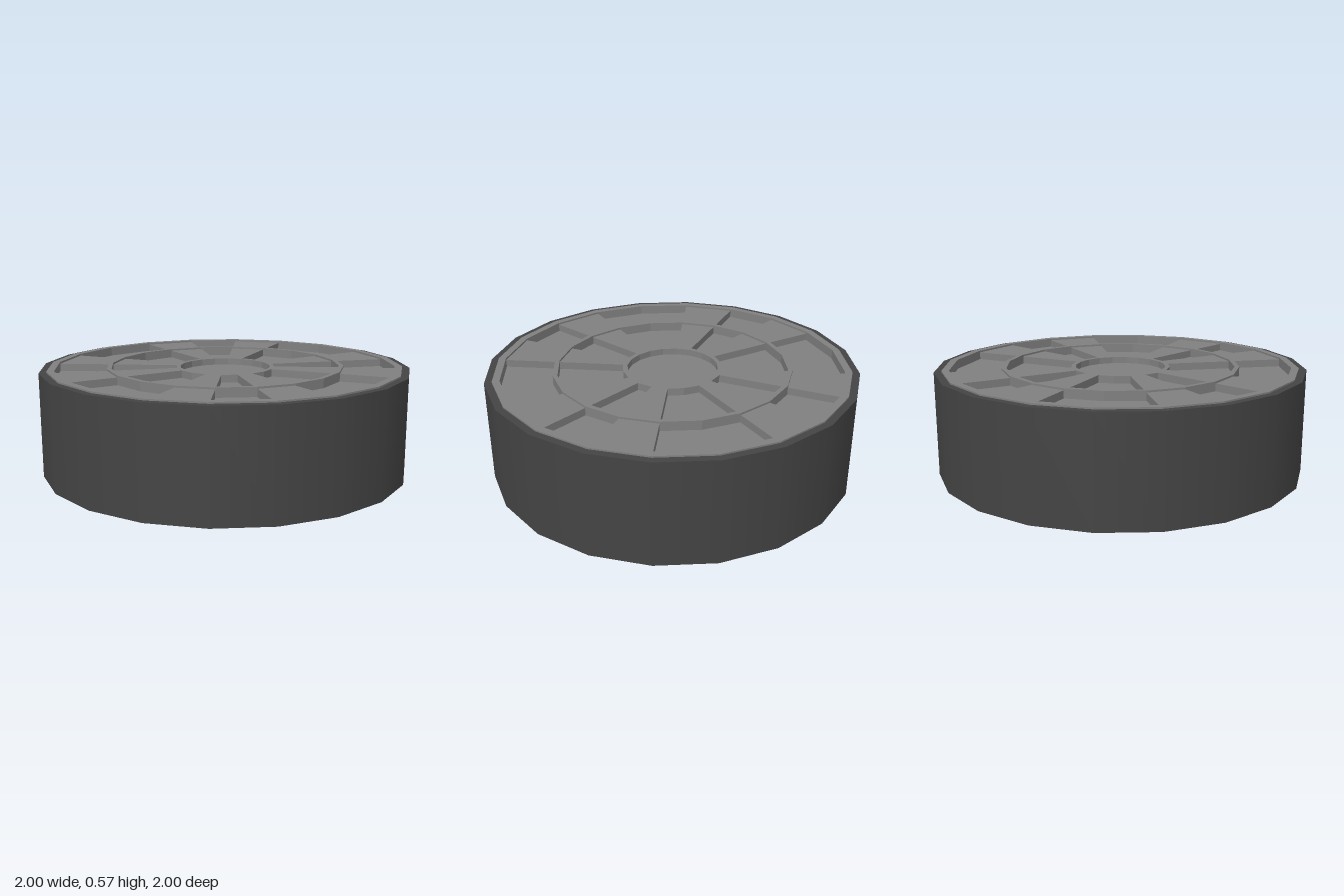
import * as THREE from 'three';

const SIDES = 20;
const STEP = (Math.PI * 2) / SIDES;

export function createModel() {
  const model = new THREE.Group();
  const darkSmooth = new THREE.MeshStandardMaterial({ color: 0x444444 });
  const darkFlat = new THREE.MeshStandardMaterial({ color: 0x444444, flatShading: true });
  const grey = new THREE.MeshStandardMaterial({ color: 0x808080, flatShading: true });

  const add = (name, geometry, material, parent = model) => {
    const mesh = new THREE.Mesh(geometry, material);
    mesh.name = name;
    parent.add(mesh);
    return mesh;
  };
  // Profiles run [radius, height], counter-clockwise so that faces point outward
  const lathe = (points) =>
    new THREE.LatheGeometry(points.map(([r, y]) => new THREE.Vector2(r, y)), SIDES);

  // Hollow drum: smooth outer wall, faceted lip, inner wall and ledge
  add('outerWall', lathe([[1, 0], [1, 0.562]]), darkSmooth);
  add('innerWall', lathe([[1, 0.562], [0.955, 0.562], [0.955, 0.57]].slice(0, 2)), darkFlat);
  add('ledge', lathe([[0.92, 0.47], [0.92, 0.455], [0.955, 0.455], [0.955, 0], [1, 0]]), darkFlat);

  // Closing plate that carries the relief
  const lid = new THREE.Group();
  lid.name = 'lid';
  model.add(lid);
  add('plate', lathe([[0, 0.47], [0.955, 0.47], [0.955, 0.52], [0, 0.52]]), grey, lid);

  // Raised rings and the hub dish
  const ring = (name, outer, inner, top) =>
    add(name, lathe([[outer, 0.51], [outer, top], [inner, top], [inner, 0.51]]), grey, lid);
  ring('rim', 0.96, 0.92, 0.57);
  ring('middleRing', 0.645, 0.62, 0.57);
  ring('hubRing', 0.27, 0.245, 0.56);
  add('hubFloor', lathe([[0.25, 0.525], [0, 0.525]]), grey, lid);

  // Eight wedge spokes, each one facet wide, crossing the middle ring
  const spokeShape = (facet) => {
    const corner = (r, i) => new THREE.Vector2(r * Math.cos(i * STEP), r * Math.sin(i * STEP));
    return new THREE.Shape([
      corner(0.268, facet), corner(0.93, facet), corner(0.93, facet + 1), corner(0.268, facet + 1),
    ]);
  };
  for (let quarter = 0; quarter < 4; quarter++) {
    for (const facet of [1, 3]) {
      const geometry = new THREE.ExtrudeGeometry(spokeShape(quarter * 5 + facet), {
        depth: 0.05, bevelEnabled: false,
      });
      geometry.rotateX(-Math.PI / 2).translate(0, 0.51, 0);
      add('spoke', geometry, grey, lid);
    }
  }
  return model;
}
